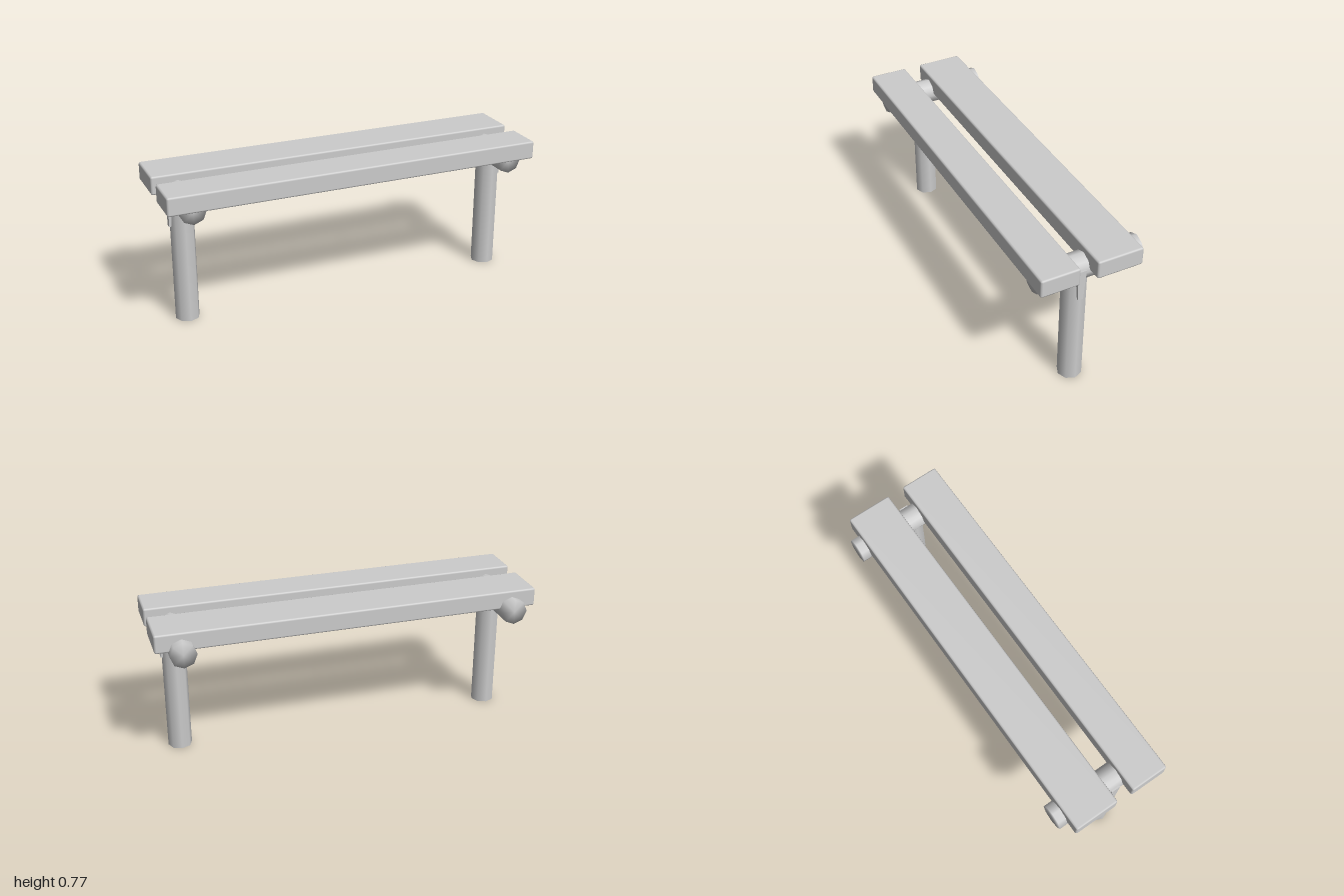
import * as THREE from 'three';
import { mergeVertices } from 'three/addons/utils/BufferGeometryUtils.js';
import { RoundedBoxGeometry } from 'three/addons/geometries/RoundedBoxGeometry.js';

export function createModel() {
  const bench = new THREE.Group();
  bench.name = 'bench';
  const grey = new THREE.MeshStandardMaterial({ color: 0xcccccc, side: THREE.DoubleSide });
  grey.name = 'plain grey';

  function add(name, geometry, x, y, z) {
    const mesh = new THREE.Mesh(geometry, grey);
    mesh.name = name;
    mesh.position.set(x, y, z);
    bench.add(mesh);
    return mesh;
  }

  // Shared smooth normals round off the shading of the log ends
  function smoothLog(radius, length) {
    const log = new THREE.CylinderGeometry(radius, radius, length, 8);
    log.deleteAttribute('normal');
    log.deleteAttribute('uv');
    const merged = mergeVertices(log);
    merged.computeVertexNormals();
    return merged;
  }

  // Seat planks with softly chamfered edges
  const plank = (depth) => new RoundedBoxGeometry(2, 0.097, depth, 1, 0.01);
  add('frontPlank', plank(0.204), 0, 0.7185, 0.189);
  add('backPlank', plank(0.243), 0, 0.7185, -0.1245);

  // Tapered wedge outline, pressed into the outside of each leg
  const wedgeShape = new THREE.Shape([
    new THREE.Vector2(-0.013, 0.517), new THREE.Vector2(0.013, 0.517),
    new THREE.Vector2(0.025, 0.683), new THREE.Vector2(-0.025, 0.683),
  ]);

  for (const [label, side] of [['left', 1], ['right', -1]]) {
    const x = side * 0.867;
    // Open-ended post and the cross log it carries
    add(label + 'Leg', new THREE.CylinderGeometry(0.0625, 0.0625, 0.67, 8, 1, true), x, 0.335, 0.042);
    const beam = add(label + 'CrossBeam', smoothLog(0.0675, 0.555), x, 0.6675, -0.0135);
    beam.rotation.x = Math.PI / 2;
    // Wedge
    const wedge = new THREE.ExtrudeGeometry(wedgeShape, { depth: 0.03, bevelEnabled: false });
    const peg = add(label + 'Wedge', wedge, side * 0.907, 0, 0.042);
    peg.rotation.y = side * Math.PI / 2;
  }
  return bench;
}
